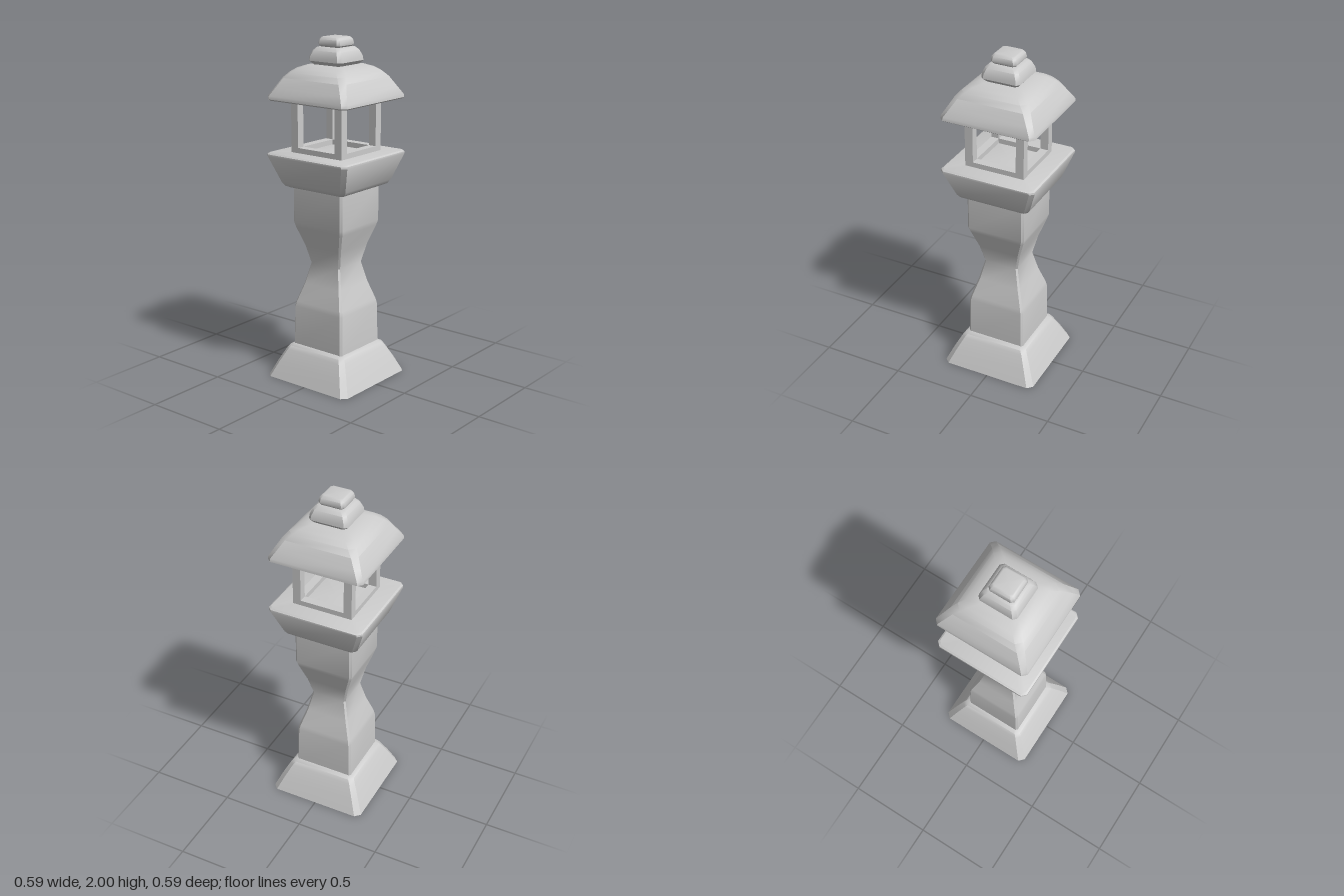
import * as THREE from 'three';
import { toCreasedNormals } from 'three/addons/utils/BufferGeometryUtils.js';

const stone = new THREE.MeshStandardMaterial({ color: 0xcccccc });

// Square ring with chamfered corners, ordered from +x towards +z
function ring([h, y, c]) {
  const k = h - c;
  return [[h, -k], [h, k], [k, h], [-k, h], [-h, k], [-h, -k], [-k, -h], [k, -h]]
    .map(([x, z]) => [x, y, z]);
}

// Capped solid through square sections given as [half width, height, corner chamfer]
function squareLoft(name, profile, crease = 0.6) {
  const rings = profile.map(ring);
  const last = rings.length - 1;
  const positions = [];
  const tri = (...corners) => corners.forEach((p) => positions.push(...p));
  const bottom = [0, profile[0][1], 0];
  const top = [0, profile[last][1], 0];
  for (let j = 0; j < 8; j++) {
    const n = (j + 1) % 8;
    for (let i = 0; i < last; i++) {
      const a = rings[i], b = rings[i + 1];
      tri(a[j], b[j], a[n]);
      tri(a[n], b[j], b[n]);
    }
    tri(bottom, rings[0][j], rings[0][n]);
    tri(top, rings[last][n], rings[last][j]);
  }
  const geometry = new THREE.BufferGeometry();
  geometry.setAttribute('position', new THREE.Float32BufferAttribute(positions, 3));
  const mesh = new THREE.Mesh(toCreasedNormals(geometry, crease), stone);
  mesh.name = name;
  return mesh;
}

// Open lantern chamber: four posts joined by rails at the bottom and top
function lightChamber() {
  const group = new THREE.Group();
  group.name = 'lightChamber';
  const outer = 0.18, inner = 0.132;
  const width = outer - inner, mid = (outer + inner) / 2;
  const box = (name, w, h, d, x, y, z) => {
    const mesh = new THREE.Mesh(new THREE.BoxGeometry(w, h, d), stone);
    mesh.position.set(x, y, z);
    mesh.name = name;
    group.add(mesh);
  };
  for (const sx of [-1, 1]) {
    for (const sz of [-1, 1]) box('post', width, 0.305, width, sx * mid, 1.4975, sz * mid);
  }
  for (const [y, h] of [[1.3625, 0.035], [1.643, 0.02]]) {
    for (const s of [-1, 1]) {
      box('rail', inner * 2, h, width, 0, y, s * mid);
      box('rail', width, h, inner * 2, s * mid, y, 0);
    }
  }
  return group;
}

export function createModel() {
  const model = new THREE.Group();
  model.name = 'stoneLantern';

  model.add(squareLoft('base', [
    [0.295, 0, 0.03], [0.255, 0.09, 0.028], [0.217, 0.165, 0.025],
    [0.203, 0.187, 0.025], [0.18, 0.2, 0.02],
  ]));

  // Waisted shaft
  model.add(squareLoft('shaft', [
    [0.18, 0.19, 0.012], [0.176, 0.43, 0.012], [0.17, 0.46, 0.012], [0.134, 0.57, 0.01],
    [0.106, 0.69, 0.009], [0.132, 0.8, 0.01], [0.17, 0.91, 0.012],
    [0.178, 0.94, 0.012], [0.178, 1.155, 0.012],
  ]));

  // Flared platform under the chamber
  model.add(squareLoft('platform', [
    [0.195, 1.148, 0.018], [0.216, 1.158, 0.02], [0.232, 1.18, 0.022],
    [0.288, 1.332, 0.024], [0.287, 1.343, 0.024], [0.278, 1.35, 0.024],
  ]));

  model.add(lightChamber());

  // Domed square roof with a thin rounded eave
  model.add(squareLoft('roof', [
    [0.272, 1.648, 0.022], [0.283, 1.656, 0.024], [0.281, 1.675, 0.024],
    [0.255, 1.72, 0.026], [0.225, 1.775, 0.03], [0.2, 1.805, 0.034],
    [0.17, 1.828, 0.034], [0.125, 1.845, 0.03], [0.08, 1.85, 0.02],
  ]));

  // Stacked finial
  model.add(squareLoft('finialLower', [
    [0.095, 1.845, 0.016], [0.107, 1.858, 0.018], [0.116, 1.868, 0.018],
    [0.113, 1.893, 0.018], [0.1, 1.925, 0.018], [0.085, 1.941, 0.018], [0.068, 1.946, 0.016],
  ]));
  model.add(squareLoft('finialUpper', [
    [0.064, 1.943, 0.012], [0.075, 1.954, 0.015], [0.077, 1.965, 0.015],
    [0.072, 1.986, 0.014], [0.062, 1.998, 0.013], [0.055, 2, 0.012],
  ]));

  return model;
}
